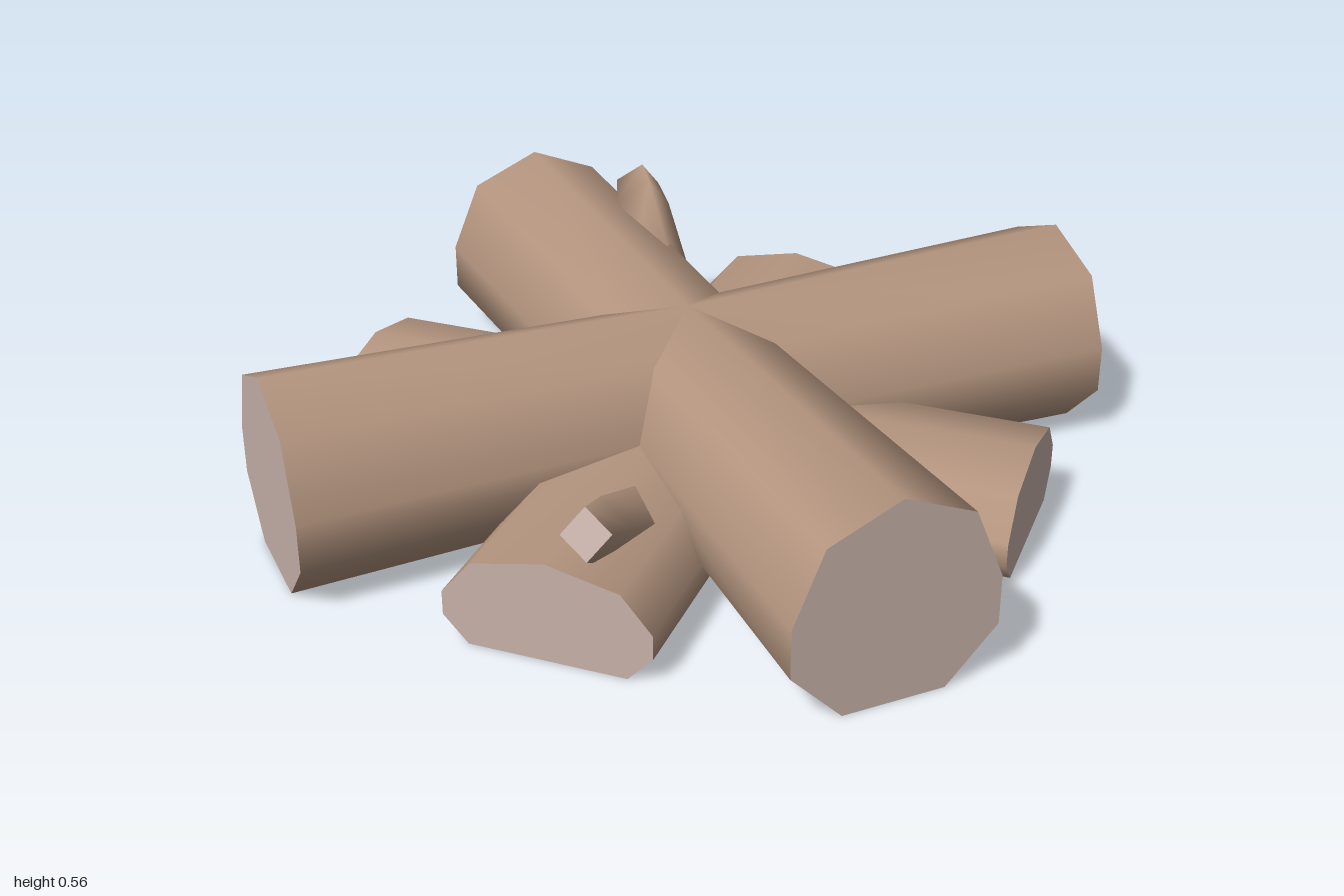
import * as THREE from 'three';

const bark = new THREE.MeshStandardMaterial({ color: 0xb4957f });
bark.name = 'bark';
const cutWood = new THREE.MeshStandardMaterial({ color: 0xc6b1a9 });
cutWood.name = 'cutWood';

// Mirror the left half of a profile, listed from top to bottom, into a closed outline
function mirrored(half) {
  const right = half.slice(1).reverse().map(([x, y]) => [-x, y]);
  return [...half, ...right];
}

// Loft an outline along z through [z, scale] sections; smooth sides, flat caps
function loft(name, outline, sections, axisY = 0) {
  const n = outline.length;
  const points = [];
  const index = [];
  const addRing = ([z, s]) => {
    for (const [x, y] of outline) points.push(x * s, axisY + (y - axisY) * s, z);
  };
  sections.forEach(addRing);
  for (let k = 0; k < sections.length - 1; k++) {
    for (let i = 0; i < n; i++) {
      const j = (i + 1) % n;
      const a = k * n + i, b = k * n + j, c = b + n, d = a + n;
      index.push(a, b, c, a, c, d);
    }
  }
  const sideCount = index.length;
  const first = sections.length * n;
  const last = first + n;
  addRing(sections[0]);
  addRing(sections[sections.length - 1]);
  for (let i = 1; i < n - 1; i++) {
    index.push(first, first + i + 1, first + i);
    index.push(last, last + i, last + i + 1);
  }
  const geometry = new THREE.BufferGeometry();
  geometry.setAttribute('position', new THREE.Float32BufferAttribute(points, 3));
  geometry.setIndex(index);
  geometry.computeVertexNormals();
  geometry.addGroup(0, sideCount, 0);
  geometry.addGroup(sideCount, index.length - sideCount, 1);
  const mesh = new THREE.Mesh(geometry, [bark, cutWood]);
  mesh.name = name;
  return mesh;
}

// Four-sided branch stub from base to tip
function stub(name, base, tip) {
  const from = new THREE.Vector3(...base);
  const to = new THREE.Vector3(...tip);
  const length = from.distanceTo(to);
  const outline = [10, 100, 190, 280].map((deg) => {
    const a = THREE.MathUtils.degToRad(deg);
    return [Math.cos(a), Math.sin(a)];
  });
  const mesh = loft(name, outline, [[0, 0.085], [length * 0.75, 0.08], [length, 0.065]]);
  mesh.position.copy(from);
  mesh.lookAt(to);
  return mesh;
}

export function createModel() {
  const group = new THREE.Group();
  group.name = 'logPile';

  // Crossed full logs, slightly waisted at the middle
  const round = mirrored([[0, 0.54], [-0.19, 0.46], [-0.27, 0.27], [-0.27, 0.14], [-0.135, 0]]);
  round.splice(5, 0); // flat underside stays between the two lowest points
  for (const side of [1, -1]) {
    const log = loft(side > 0 ? 'diagonalLogLeft' : 'diagonalLogRight', round,
      [[-1.145, 1], [0, 0.89], [1.145, 1]], 0.27);
    log.rotation.y = side * Math.PI / 4;
    group.add(log);
  }

  // Low half logs lying flat underneath
  const low = mirrored([[0, 0.27], [-0.19, 0.23], [-0.27, 0.135], [-0.27, 0.07], [-0.205, 0]]);
  for (const across of [false, true]) {
    const log = loft(across ? 'halfLogAcross' : 'halfLogFrontBack', low, [[-0.945, 1], [0.945, 1]]);
    if (across) log.rotation.y = Math.PI / 2;
    group.add(log);
  }

  // Branch stubs
  group.add(stub('frontBranchStub', [0.07, 0.15, 0.48], [0.08, 0.33, 0.88]));
  group.add(stub('backBranchStub', [-0.26, 0.38, -0.47], [-0.46, 0.5, -0.79]));
  return group;
}
